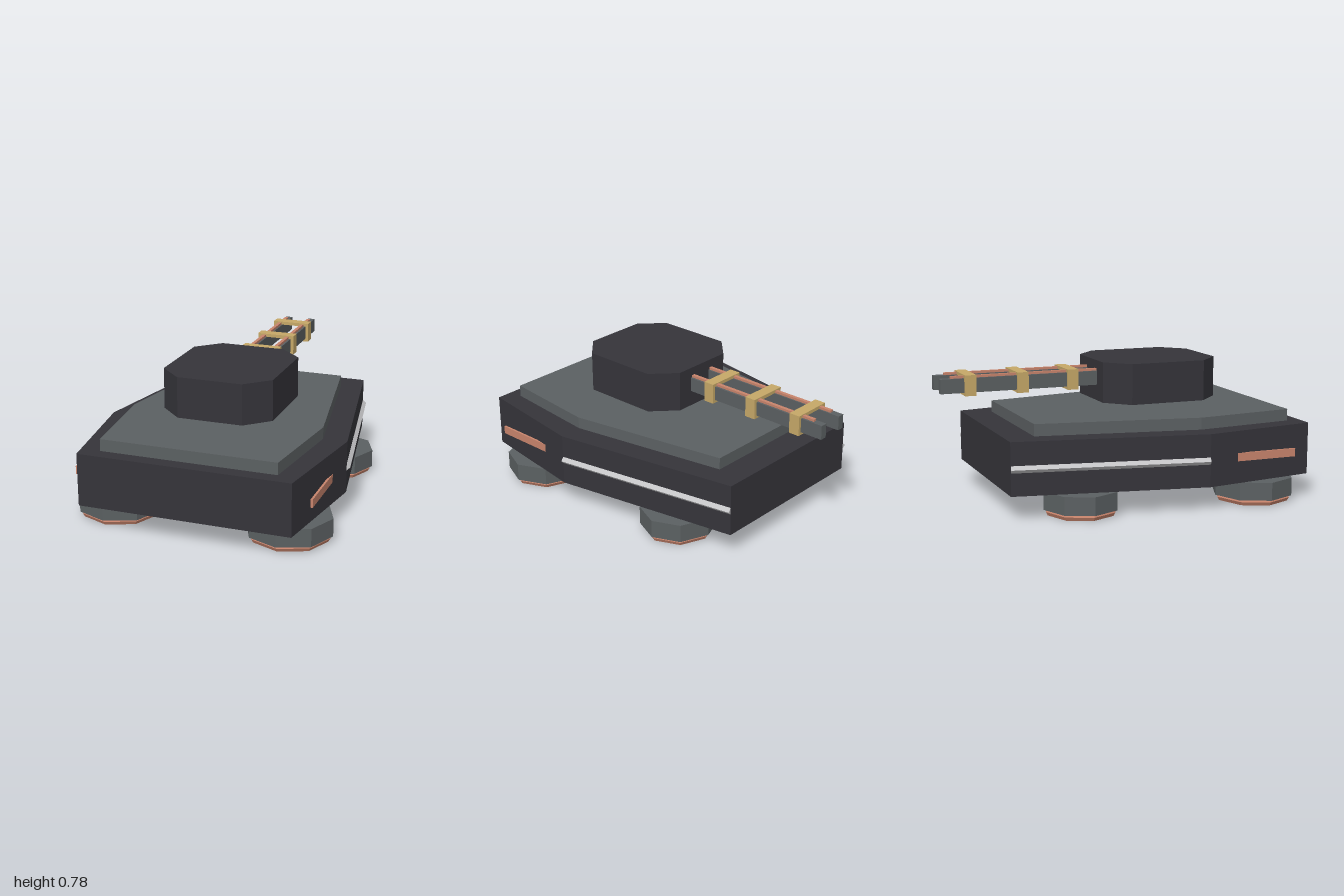
import * as THREE from 'three';

const mat = (name, color) => new THREE.MeshStandardMaterial({ name, color, flatShading: true });

export function createModel() {
  const model = new THREE.Group();
  model.name = 'hoverTank';
  const dark = mat('charcoal armour', 0x35343a);
  const grey = mat('slate metal', 0x5b6062);
  const copper = mat('copper', 0xc8846c);
  const brass = mat('brass', 0xc6a868);
  const silver = mat('silver', 0xc4c4c6);

  const add = (name, geometry, material, x = 0, y = 0, z = 0, parent = model) => {
    const mesh = new THREE.Mesh(geometry, material);
    mesh.name = name;
    mesh.position.set(x, y, z);
    parent.add(mesh);
    return mesh;
  };
  const box = (name, w, h, d, material, x, y, z, parent) =>
    add(name, new THREE.BoxGeometry(w, h, d), material, x, y, z, parent);

  // Slab with a plan outline given as [x, z] points of the +x half, mirrored
  const slab = (name, half, bottom, top, material) => {
    const outline = [...half, ...half.map(([x, z]) => [-x, z]).reverse()];
    const shape = new THREE.Shape(outline.map(([x, z]) => new THREE.Vector2(x, -z)));
    const g = new THREE.ExtrudeGeometry(shape, { depth: top - bottom, bevelEnabled: false });
    g.rotateX(-Math.PI / 2);
    return add(name, g, material, 0, bottom, 0);
  };

  // Body
  slab('hull', [[0.595, 1], [0.695, 0.34], [0.5, -0.735]], 0.135, 0.43, dark);
  slab('deckPlate', [[0.495, 0.92], [0.56, 0.345], [0.4, -0.57]], 0.43, 0.497, grey);
  slab('turret', [[0.185, 0.6], [0.315, 0.475], [0.315, 0.035], [0.185, -0.09]], 0.547, 0.777, dark);

  // Twin gun rails with copper conductors
  for (const s of [-1, 1]) {
    box('gunRail', 0.04, 0.08, 0.93, grey, s * 0.075, 0.677, -0.535);
    box('railConductor', 0.02, 0.014, 0.87, copper, s * 0.073, 0.723, -0.505);
  }

  // Brass clamps framing the rails
  for (const z of [-0.24, -0.535, -0.835]) {
    const clamp = new THREE.Group();
    clamp.name = 'railClamp';
    clamp.position.set(0, 0.678, z);
    model.add(clamp);
    for (const s of [-1, 1]) {
      box('clampSide', 0.017, 0.115, 0.064, brass, s * 0.1045, 0, 0, clamp);
      box('clampPlate', 0.192, 0.019, 0.064, brass, 0, s * 0.048, 0, clamp);
    }
  }

  // Side trims: silver diamond rods and copper vents
  const rodAngle = Math.atan2(0.195, 1.075);
  for (const s of [-1, 1]) {
    const rod = new THREE.BoxGeometry(0.028, 0.028, 1.09).rotateZ(Math.PI / 4);
    add('sideRod', rod, silver, s * 0.5975, 0.281, -0.1975).rotation.y = s * rodAngle;
    box('sideVent', 0.012, 0.046, 0.38, copper, s * 0.662, 0.282, 0.688);
  }

  // Octagonal hover pods
  const pod = (name, x, z, rx, rz) => {
    const group = new THREE.Group();
    group.name = name;
    group.position.set(x, 0, z);
    group.scale.set(rx / 0.24, 1, rz / 0.24);
    model.add(group);
    add('podBody', new THREE.CylinderGeometry(0.24, 0.24, 0.102, 8), grey, 0, 0.084, 0, group);
    const ring = new THREE.TorusGeometry(0.203, 0.023, 6, 8).rotateX(Math.PI / 2);
    add('podRing', ring, copper, 0, 0.02, 0, group);
    add('podEmitter', new THREE.CylinderGeometry(0.125, 0.125, 0.012, 8), copper, 0, 0.029, 0, group);
  };
  for (const s of [-1, 1]) {
    pod('frontPod', s * 0.49, 0.703, 0.24, 0.23);
    pod('rearPod', s * 0.45, -0.323, 0.222, 0.214);
  }
  return model;
}
